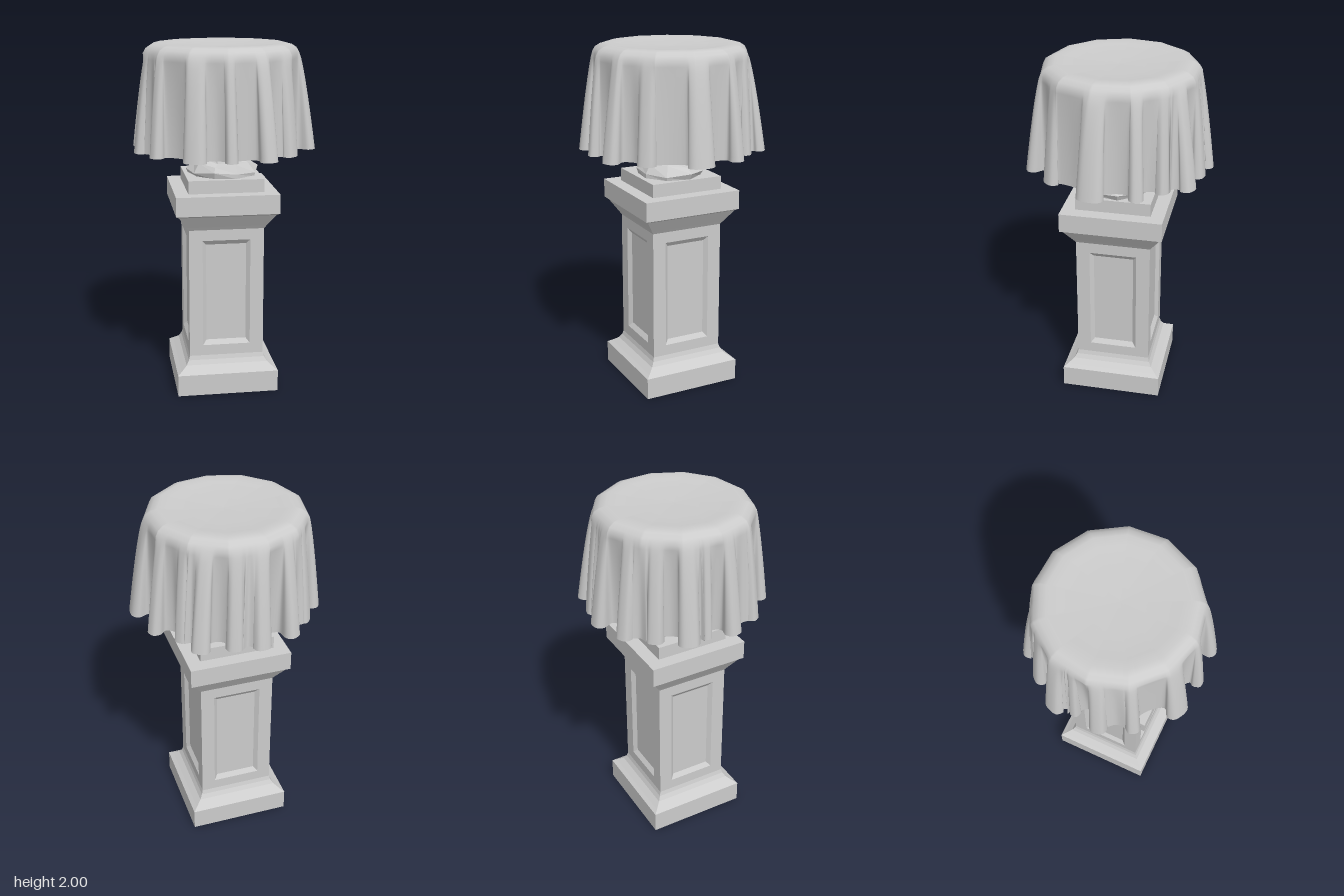
import * as THREE from 'three';

const stone = new THREE.MeshStandardMaterial({ color: 0xcccccc, flatShading: true });
const fabric = new THREE.MeshStandardMaterial({ color: 0xcccccc, side: THREE.DoubleSide });

function add(parent, name, geometry, material = stone) {
  const mesh = new THREE.Mesh(geometry, material);
  mesh.name = name;
  parent.add(mesh);
  return mesh;
}

// Skin a list of closed point loops, each with the same number of points
function loft(rows) {
  const n = rows[0].length, index = [];
  for (let i = 0; i < rows.length - 1; i++) {
    for (let j = 0; j < n; j++) {
      const k = (j + 1) % n, a = i * n + j, b = i * n + k, c = b + n, d = a + n;
      index.push(a, b, c, a, c, d);
    }
  }
  const g = new THREE.BufferGeometry().setFromPoints(rows.flat());
  g.setIndex(index);
  g.computeVertexNormals();
  return g;
}

function lathe(profile, sides) {
  return new THREE.LatheGeometry(profile.map(([r, y]) => new THREE.Vector2(r, y)), sides);
}

// Square moulding: the profile gives half-widths
function square(profile) {
  return lathe(profile.map(([w, y]) => [w * Math.SQRT2, y]), 4).rotateY(Math.PI / 4);
}

function buildPedestal() {
  const g = new THREE.Group();
  g.name = 'pedestal';
  add(g, 'plinth', square([[0, 0], [0.292, 0], [0.292, 0.125], [0.27, 0.14], [0.237, 0.165], [0.222, 0.19], [0.215, 0.215]]));
  add(g, 'capital', square([[0.215, 0.97], [0.228, 0.99], [0.275, 1.06], [0.292, 1.07], [0.292, 1.18], [0, 1.18]]));
  add(g, 'upperBlock', square([[0.215, 1.18], [0.215, 1.255], [0, 1.255]]));

  // Four shaft faces, each with a bevelled sunken panel
  const face = loft([[0.215, 0.38, 0.215], [0.137, 0.315, 0.215], [0.115, 0.288, 0.195], [0, 0, 0.195]].map(([w, h, z]) =>
    [[-1, -1], [1, -1], [1, 1], [-1, 1]].map(([x, y]) => new THREE.Vector3(x * w, 0.592 + y * h, z))));
  for (let i = 0; i < 4; i++) add(g, 'shaftPanel', face).rotation.y = i * Math.PI / 2;

  g.rotation.y = -Math.PI / 10;
  g.position.set(-0.006, 0, -0.006);
  return g;
}

function buildBasin() {
  const g = new THREE.Group();
  g.name = 'basin';
  // Roughly hewn foot and neck
  const foot = lathe([[0.19, 1.25], [0.2, 1.28], [0.165, 1.325], [0.115, 1.335], [0.1, 1.37], [0.07, 1.41], [0.08, 1.44], [0.11, 1.47]], 9);
  const p = foot.attributes.position;
  for (let i = 0; i < p.count; i++) {
    const x = p.getX(i), y = p.getY(i), z = p.getZ(i), a = Math.atan2(z, x);
    const s = 1 + 0.05 * Math.sin(2 * a + y * 40) + 0.03 * Math.cos(5 * a);
    p.setXYZ(i, x * s, y + (y > 1.26 ? 0.009 * Math.sin(3 * a + y * 60) : 0), z * s);
  }
  add(g, 'foot', foot);
  add(g, 'bowl', lathe([[0, 1.46], [0.11, 1.46], [0.29, 1.5], [0.35, 1.6], [0.375, 1.78], [0.38, 1.93], [0, 1.94]], 14));
  return g;
}

function buildCloth() {
  // Folds: angle in degrees, reach at the hem, half width in degrees, radius of the valley after it
  const folds = [
    [-4, 0.515, 5, 0.405], [25, 0.53, 9, 0.405], [61, 0.485, 7, 0.405], [85.5, 0.525, 6, 0.405],
    [110, 0.495, 4.5, 0.405], [134, 0.52, 8, 0.405], [165, 0.51, 5, 0.455], [187, 0.52, 6, 0.405],
    [205, 0.48, 4, 0.46], [218, 0.53, 7, 0.405], [239.5, 0.505, 6, 0.465], [259, 0.53, 5.5, 0.405],
    [282, 0.53, 6, 0.465], [299, 0.505, 6, 0.405], [320, 0.54, 6, 0.45], [336, 0.48, 5, 0.405],
  ];
  const polar = (deg, r) => {
    const a = THREE.MathUtils.degToRad(deg);
    return new THREE.Vector3(r * Math.cos(a), 0, r * Math.sin(a));
  };
  const hemPts = [], rimPts = [], R = 0.44, count = folds.length;
  folds.forEach(([a, r, w, valley], i) => {
    const before = folds[(i + count - 1) % count][3];
    // Neck, swollen sides, shoulders and tip of each fold
    const shape = [
      [-0.75, before + 0.025, -1.1], [-1, r - 0.04, -0.75], [-0.65, r - 0.007, -0.4], [0, r, 0],
      [0.65, r - 0.007, 0.4], [1, r - 0.04, 0.75], [0.75, valley + 0.025, 1.1],
    ];
    for (const [k, rad, top] of shape) {
      hemPts.push(polar(a + k * w, rad));
      rimPts.push(polar(a + top * w, R));
    }
    // Valley before the next fold
    const [b, , v] = folds[(i + 1) % count];
    const mid = (a + w + b + (b < a ? 360 : 0) - v) / 2;
    hemPts.push(polar(mid, valley));
    rimPts.push(polar(mid, R));
  });
  const N = count * 32;
  const sample = (pts) => {
    const curve = new THREE.CatmullRomCurve3(pts, true, 'catmullrom', 0.5);
    return Array.from({ length: N }, (_, i) => curve.getPoint(i / N));
  };
  const hem = sample(hemPts);

  // Rim flattened into thirteen straight sides, a little off centre
  const side = 2 * Math.PI / 13;
  const rim = sample(rimPts).map((p) => {
    const a = Math.atan2(p.z, p.x) + 2 * Math.PI;
    const r = R * Math.cos(side / 2) / Math.cos((a % side) - side / 2);
    return p.setLength(r).add(new THREE.Vector3(-0.008, 0, -0.01));
  });

  // Slightly dished top and bevelled rim
  const rows = [[0, 1.978], [0.45, 1.983], [0.7, 1.991], [0.82, 1.999], [0.9, 1.99], [0.965, 1.972], [1, 1.945]]
    .map(([s, y]) => rim.map((p) => p.clone().multiplyScalar(s).setY(y)));
  // Skirt, deepening into folds towards the hem
  const steps = 20;
  for (let i = 1; i <= steps; i++) {
    const t = i / steps;
    rows.push(rim.map((p, j) => p.clone().lerp(hem[j], Math.pow(t, 0.75)).setY(1.945 - 0.545 * t)));
  }
  return loft(rows);
}

export function createModel() {
  const model = new THREE.Group();
  model.name = 'drapedPedestal';
  model.add(buildPedestal(), buildBasin());
  add(model, 'cloth', buildCloth(), fabric);
  return model;
}
